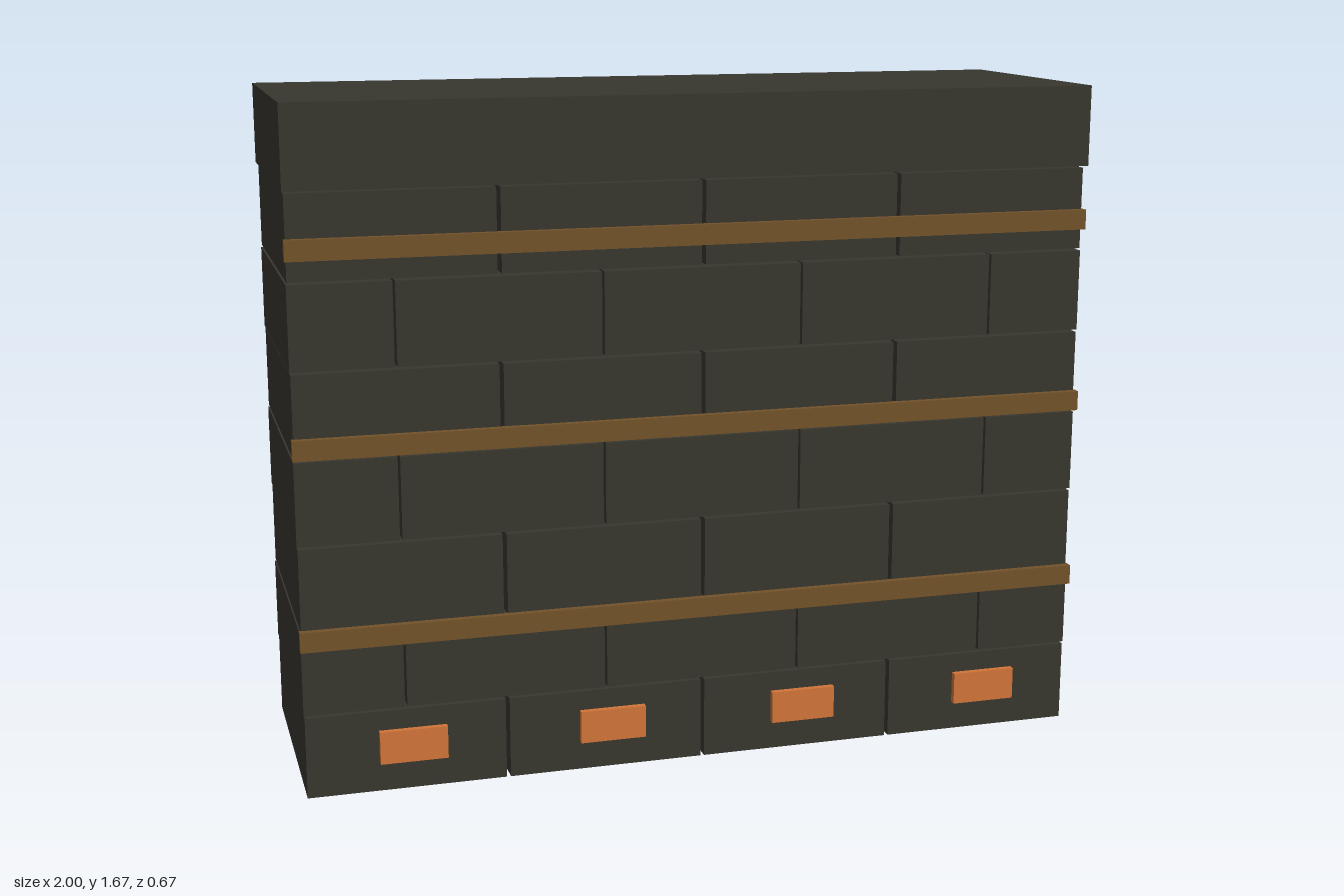
import * as THREE from 'three';

const flat = (name, color) => {
  const m = new THREE.MeshStandardMaterial({ color });
  m.name = name;
  return m;
};

export function createModel() {
  const stone = flat('dark stone', 0x37362e);
  const bronze = flat('bronze brown', 0x72522a);
  const ember = flat('ember orange', 0xcf7438);
  const model = new THREE.Group();
  model.name = 'brickWall';

  // Box given by its extents on each axis
  const box = (name, mat, [x0, x1], [y0, y1], [z0, z1], parent = model) => {
    const mesh = new THREE.Mesh(new THREE.BoxGeometry(x1 - x0, y1 - y0, z1 - z0), mat);
    mesh.position.set((x0 + x1) / 2, (y0 + y1) / 2, (z0 + z1) / 2);
    mesh.name = name;
    parent.add(mesh);
  };

  // Seven courses in running bond, with open joints between the blocks
  const pitch = 0.21, height = 0.204, depth = 0.315;
  for (let row = 0; row < 7; row++) {
    const course = new THREE.Group();
    course.name = `course${row + 1}`;
    model.add(course);
    const odd = row % 2 === 1;
    const joints = odd ? [-1, -0.75, -0.25, 0.25, 0.75, 1] : [-1, -0.5, 0, 0.5, 1];
    const gap = odd ? 0.003 : 0.005;
    for (let i = 0; i < joints.length - 1; i++) {
      box('block', stone, [joints[i] + gap, joints[i + 1] - gap],
        [row * pitch, row * pitch + height], [-depth, depth], course);
    }
  }

  // Overhanging cap
  box('capStone', stone, [-1, 1], [1.47, 1.67], [-0.333, 0.333]);

  // Horizontal bands across the front
  for (const y of [0.4, 0.867, 1.335]) {
    box('frontBand', bronze, [-1, 1], [y - 0.025, y + 0.025], [0.313, 0.333]);
  }

  // Small glowing plates on the bottom course
  for (const x of [-0.735, -0.235, 0.265, 0.765]) {
    box('frontPlate', ember, [x - 0.083, x + 0.083], [0.073, 0.155], [0.314, 0.331]);
  }
  return model;
}
